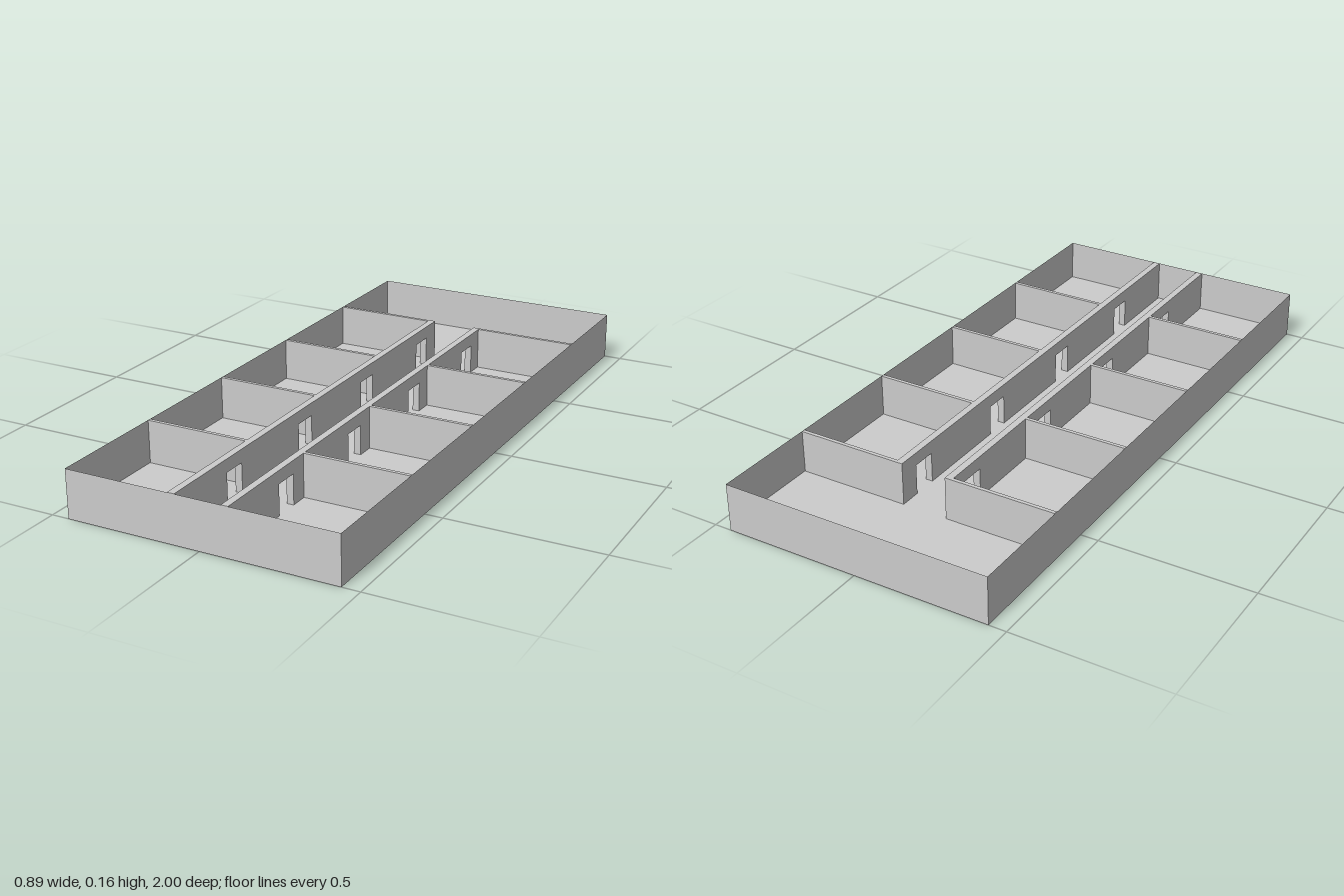
import * as THREE from 'three';

const W = 0.886, L = 2, H = 0.157, FLOOR = 0.017;
const WALL = 0.023, PART = 0.012;          // corridor wall and partition thickness
const HALL = 0.075;                        // half width of the corridor
const BACK = -0.65;                        // where the corridor walls end
const PARTITIONS = [-0.644, -0.233, 0.177, 0.588];
const DOOR_OFFSET = 0.105, DOOR_W = 0.08, DOOR_TOP = 0.115;

export function createModel() {
  const model = new THREE.Group();
  const mat = new THREE.MeshStandardMaterial({ color: 0xcccccc, flatShading: true });
  const thin = new THREE.MeshStandardMaterial({ color: 0xcccccc, flatShading: true, side: THREE.DoubleSide });

  const add = (name, geo, x, y, z, material = mat) => {
    const mesh = new THREE.Mesh(geo, material);
    mesh.name = name;
    mesh.position.set(x, y, z);
    model.add(mesh);
    return mesh;
  };

  // Floor slab
  add('floor', new THREE.BoxGeometry(W, FLOOR, L), 0, FLOOR / 2, 0);

  // Paper-thin outer walls
  for (const s of [-1, 1]) {
    add(s > 0 ? 'frontWall' : 'backWall', new THREE.PlaneGeometry(W, H), 0, H / 2, s * L / 2, thin);
    add(s > 0 ? 'leftWall' : 'rightWall', new THREE.PlaneGeometry(L, H).rotateY(Math.PI / 2),
      s * W / 2, H / 2, 0, thin);
  }

  // Corridor wall outline in (z, y), with a doorway notch for every room
  const front = L / 2 - 0.001;
  const outline = new THREE.Shape();
  outline.moveTo(BACK, FLOOR);
  for (const p of PARTITIONS) {
    const a = p + DOOR_OFFSET - DOOR_W / 2, b = a + DOOR_W;
    outline.lineTo(a, FLOOR);
    outline.lineTo(a, DOOR_TOP);
    outline.lineTo(b, DOOR_TOP);
    outline.lineTo(b, FLOOR);
  }
  outline.lineTo(front, FLOOR);
  outline.lineTo(front, H);
  outline.lineTo(BACK, H);
  outline.closePath();
  const corridorGeo = new THREE.ExtrudeGeometry(outline, { depth: WALL, bevelEnabled: false });
  corridorGeo.rotateY(-Math.PI / 2);

  // Both corridor walls, each with its row of room partitions
  const inner = HALL + WALL, outer = W / 2 - 0.001;
  const partGeo = new THREE.BoxGeometry(outer - inner, H - FLOOR, PART);
  for (const s of [-1, 1]) {
    const side = s > 0 ? 'left' : 'right';
    add(side + 'CorridorWall', corridorGeo, s > 0 ? inner : -HALL, 0, 0);
    PARTITIONS.forEach((z, i) =>
      add(`${side}Partition${i + 1}`, partGeo, s * (inner + outer) / 2, (H + FLOOR) / 2, z));
  }

  return model;
}
